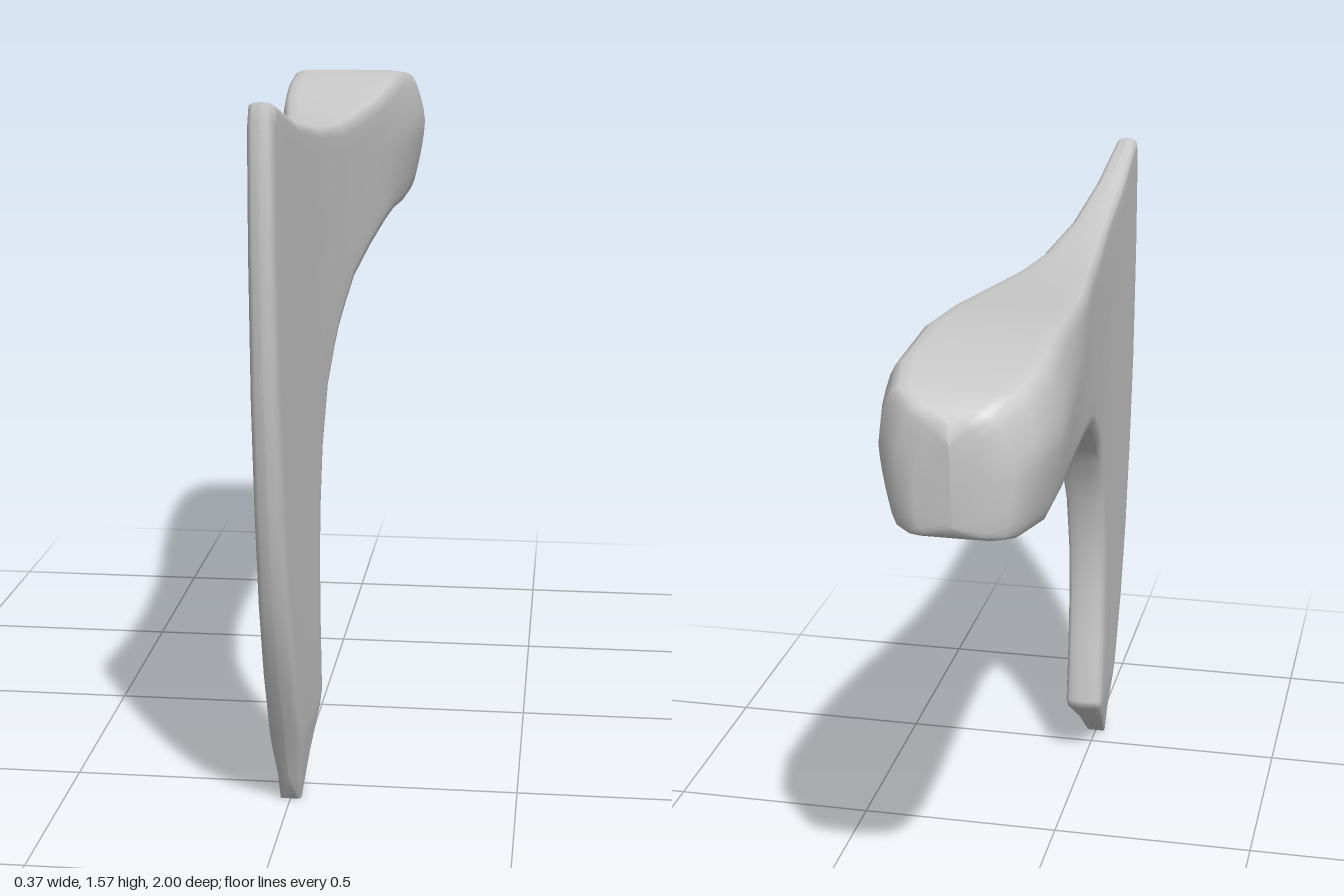
import * as THREE from 'three';

// Stations from the poll to the blade's lower tip: lower end (z, y), upper end (z, y)
const STATIONS = [
  [-0.985, 1.23, -1.0, 1.41],
  [-0.98, 1.212, -0.99, 1.445],
  [-0.965, 1.202, -0.975, 1.468],
  [-0.93, 1.195, -0.93, 1.495],
  [-0.82, 1.185, -0.82, 1.513],
  [-0.62, 1.178, -0.62, 1.53],
  [-0.43, 1.183, -0.43, 1.515],
  [-0.3, 1.17, -0.22, 1.492],
  [-0.13, 1.135, 0.0, 1.475],
  [0.04, 1.085, 0.2, 1.469],
  [0.12, 1.045, 0.45, 1.485],
  [0.2, 1.0, 0.72, 1.522],
  [0.25, 0.96, 0.975, 1.58],
  [0.27, 0.94, 0.998, 1.55],
  [0.32, 0.89, 0.998, 1.3],
  [0.375, 0.76, 0.967, 1.0],
  [0.4, 0.62, 0.92, 0.76],
  [0.405, 0.5, 0.857, 0.53],
  [0.395, 0.35, 0.775, 0.35],
  [0.37, 0.19, 0.682, 0.185],
  [0.378, 0.165, 0.665, 0.15],
  [0.47, 0.09, 0.62, 0.07],
  [0.565, 0.006, 0.59, 0.006],
];

// Half thickness along z
const WIDTHS = [
  [-1, 0.0], [-0.985, 0.075], [-0.965, 0.13], [-0.94, 0.155], [-0.82, 0.184], [-0.6, 0.167],
  [-0.4, 0.145], [-0.2, 0.118], [0, 0.09], [0.2, 0.069], [0.4, 0.05], [0.6, 0.041],
  [0.8, 0.034], [0.93, 0.03], [1, 0.026],
];

function halfWidth(z, y, t) {
  let i = 1;
  while (i < WIDTHS.length - 1 && z > WIDTHS[i][0]) i++;
  const [z0, w0] = WIDTHS[i - 1], [z1, w1] = WIDTHS[i];
  const w = THREE.MathUtils.mapLinear(THREE.MathUtils.clamp(z, z0, z1), z0, z1, w0, w1);
  // barrelled sides towards the poll, thinning towards the lower tip
  const u = t < 0.6 ? (0.6 - t) / 0.6 : (t - 0.6) / 0.4;
  const barrel = 1 - 0.2 * u ** 1.5 * (1 - THREE.MathUtils.smoothstep(z, -0.85, -0.1));
  const tip = THREE.MathUtils.lerp(0.5, 1, THREE.MathUtils.smoothstep(y, -0.05, 0.24));
  return w * barrel * tip;
}

// One closed rounded cross-section, from bottom centre up the +x side and down the -x side
function section([bz, by, tz, ty], closed) {
  const length = Math.hypot(tz - bz, ty - by);
  const corner = [[0, 0], [0.5, 0.01], [0.8, 0.1], [0.95, 0.35], [1, 1]];
  const side = [];
  const add = (t, inset, r) => {
    const z = bz + (tz - bz) * t, y = by + (ty - by) * t;
    const w = closed ? 0 : halfWidth(z, y, t);
    // the flat of each edge ends one corner radius before the side
    const flat = Math.max(0, w - r);
    const x = inset === 0 ? 0 : inset === 0.5 ? flat : flat + (w - flat) * (inset - 0.5) * 2;
    side.push([x, y, z]);
  };
  const radius = Math.min(0.035, length * 0.3);
  for (const [s, d] of corner) add((d * radius) / length, s, radius);
  const a = radius / length;
  for (let k = 1; k < 8; k++) add(a + (1 - 2 * a) * (k / 8), 1, radius);
  for (const [s, d] of [...corner].reverse()) add(1 - (d * radius) / length, s, radius);
  const back = side.slice(1, -1).reverse().map(([x, y, z]) => [-x, y, z]);
  return [...side, ...back];
}

function loft(rings) {
  const n = rings[0].length, index = [];
  for (let i = 0; i < rings.length - 1; i++) {
    for (let j = 0; j < n; j++) {
      const a = i * n + j, b = i * n + ((j + 1) % n);
      index.push(a, b, a + n, b, b + n, a + n);
    }
  }
  // close the lower tip with a fan
  const last = (rings.length - 1) * n;
  for (let j = 1; j < n - 1; j++) index.push(last, last + j, last + j + 1);
  const geometry = new THREE.BufferGeometry();
  geometry.setAttribute('position', new THREE.Float32BufferAttribute(rings.flat(2), 3));
  geometry.setIndex(index);
  geometry.computeVertexNormals();
  return geometry;
}

export function createModel() {
  const group = new THREE.Group();
  group.name = 'axeHead';
  const material = new THREE.MeshStandardMaterial({ color: 0xcccccc, side: THREE.DoubleSide });

  // Poll, neck and bearded blade as one continuous forged body
  const rings = STATIONS.map((s, i) => section(s, i === 0));
  const blade = new THREE.Mesh(loft(rings), material);
  blade.name = 'bladeAndPoll';
  group.add(blade);
  return group;
}
